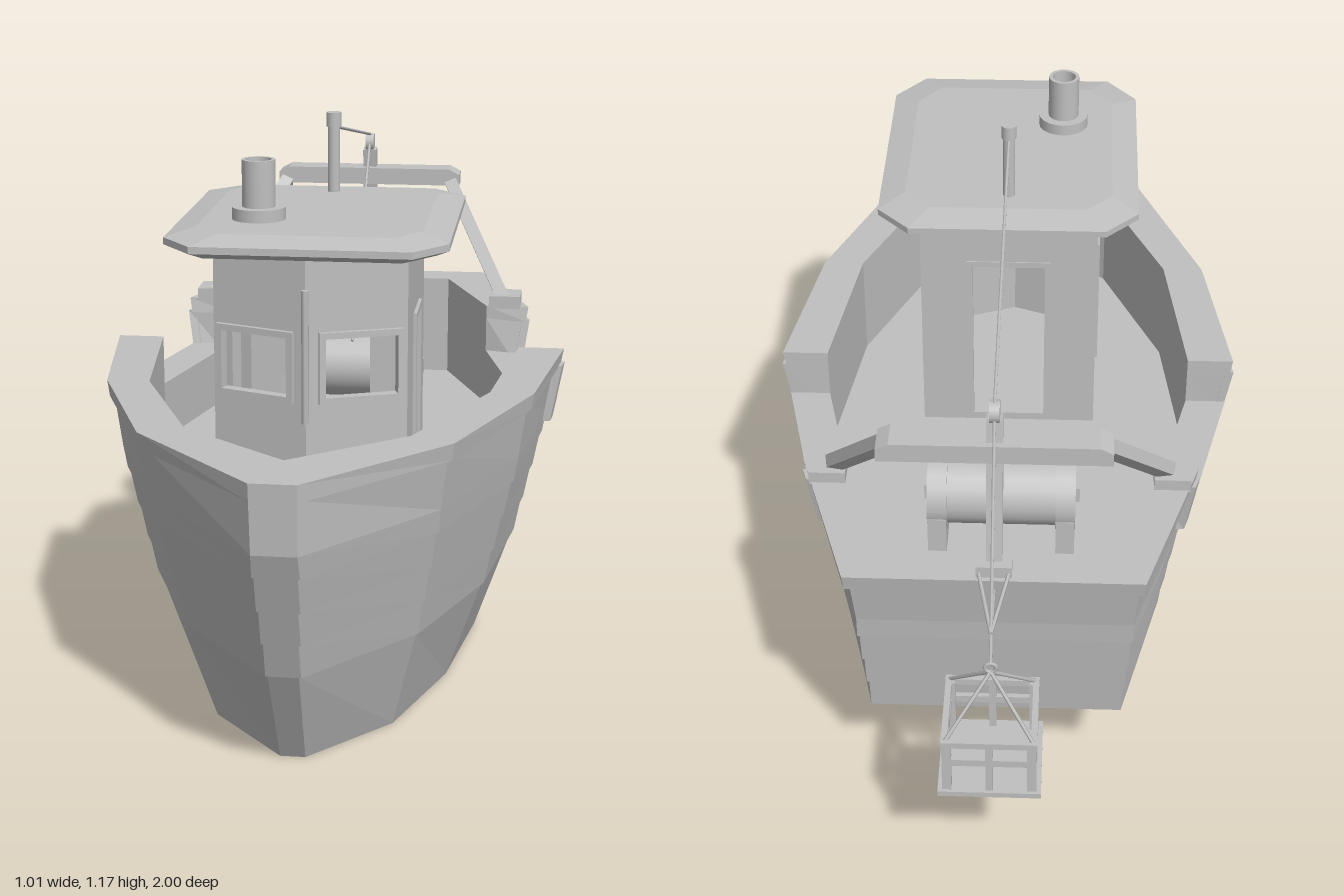
import * as THREE from 'three';

const V = (x, y, z) => new THREE.Vector3(x, y, z);
const grey = new THREE.MeshStandardMaterial({ color: 0xc0c0c0, side: THREE.DoubleSide });
grey.name = 'paintedGrey';

// Hull stations from bow to stern: [x, z] at each of the four heights
const HEIGHTS = [0, 0.22, 0.5, 0.64];
const STATIONS = [
  [[0.025, 0.765], [0.03, 0.885], [0.043, 0.99], [0.045, 1.0]],
  [[0.18, 0.59], [0.23, 0.645], [0.28, 0.7], [0.295, 0.72]],
  [[0.27, 0.33], [0.345, 0.35], [0.415, 0.36], [0.435, 0.36]],
  [[0.315, 0.04], [0.395, 0.01], [0.465, -0.01], [0.49, -0.01]],
  [[0.265, -0.21], [0.34, -0.335], [0.38, -0.37], [0.4, -0.39]],
  [[0.265, -0.21], [0.255, -0.67], [0.275, -0.72], [0.285, -0.745]],
];
// Inner edge of the bulwark at the same stations
const INNER = [[0, 0.86], [0.22, 0.68], [0.355, 0.36], [0.4, -0.01], [0.31, -0.39], [0.2, -0.67]];
const DECK = 0.4, RAIL = 0.64;
const lerp = THREE.MathUtils.lerp;

function outer(s, y, out = 0) {
  const i = Math.min(Math.floor(s), 4), t = s - i;
  let k = 0;
  while (k < 2 && y > HEIGHTS[k + 1]) k++;
  const v = (y - HEIGHTS[k]) / (HEIGHTS[k + 1] - HEIGHTS[k]);
  const at = (n, c) => lerp(STATIONS[n][k][c], STATIONS[n][k + 1][c], v);
  return V(lerp(at(i, 0), at(i + 1, 0), t) + out, y, lerp(at(i, 1), at(i + 1, 1), t) - (s === 5 ? out : 0));
}
function inner(s, y) {
  const i = Math.min(Math.floor(s), 4), t = s - i;
  return V(lerp(INNER[i][0], INNER[i + 1][0], t), y, lerp(INNER[i][1], INNER[i + 1][1], t));
}
const flip = p => V(-p.x, p.y, p.z);

// Flat-faced surface from quads
function quadMesh(name, quads) {
  const pos = [];
  for (const [a, b, c, d] of quads) for (const p of [a, b, c, a, c, d]) pos.push(p.x, p.y, p.z);
  const g = new THREE.BufferGeometry();
  g.setAttribute('position', new THREE.Float32BufferAttribute(pos, 3));
  g.computeVertexNormals();
  return mesh(name, g);
}
function mesh(name, geo, x = 0, y = 0, z = 0) {
  const m = new THREE.Mesh(geo, grey);
  m.name = name;
  m.position.set(x, y, z);
  return m;
}
const box = (name, w, h, d, x, y, z) => mesh(name, new THREE.BoxGeometry(w, h, d), x, y, z);
const cyl = (name, r, h, x, y, z, n = 16) => mesh(name, new THREE.CylinderGeometry(r, r, h, n), x, y, z);
// Lay an upright part along the line from a to b
function along(m, a, b) {
  m.position.copy(a).add(b).multiplyScalar(0.5);
  m.quaternion.setFromUnitVectors(V(0, 1, 0), b.clone().sub(a).normalize());
  return m;
}
const bar = (name, a, b, r, sides = 6) => along(cyl(name, r, a.distanceTo(b), 0, 0, 0, sides), a, b);
const beam = (name, a, b, w) => along(box(name, w, a.distanceTo(b), w, 0, 0, 0), a, b);
const mirrored = q => [q, q.map(flip).reverse()];

function hull() {
  const g = new THREE.Group();
  g.name = 'hull';
  // Skin with lapped planks: [height, outset]
  const rows = [[0, 0], [0.22, 0]];
  for (const y of [0.22, 0.297, 0.373, 0.45]) rows.push([y, 0.004], [Math.min(y + 0.0765, 0.5), 0]);
  rows.push([0.61, 0]);
  const skin = [], deck = [], cap = [];
  for (let r = 0; r < rows.length - 1; r++) {
    const [[y0, o0], [y1, o1]] = [rows[r], rows[r + 1]];
    for (let i = 0; i < 5; i++) {
      if ((i === 4 && y0 < 0.22) || (i === 3 && y0 >= 0.5)) continue;
      skin.push(...mirrored([outer(i + 1, y0, o0), outer(i, y0, o0), outer(i, y1, o1), outer(i + 1, y1, o1)]));
    }
    // Stem plate and transom
    const a = outer(0, y0, o0), b = outer(0, y1, o1);
    skin.push([flip(a), a, b, flip(b)]);
    const e = y1 <= 0.22 ? 4 : 5, c = outer(e, y0, o0), d = outer(e, y1, o1);
    skin.push([c, flip(c), flip(d), d]);
  }
  const across = (p, q) => [p, flip(p), flip(q), q];
  for (let i = 0; i < 5; i++) {
    skin.push(i < 4 ? across(outer(i + 1, 0), outer(i, 0)) : across(outer(5, 0.22), outer(4, 0.22)));
    deck.push(across(inner(i, DECK), inner(i + 1, DECK)));
    const top = i === 3 ? 0.5 : 0.62;
    deck.push(...mirrored([inner(i, DECK), inner(i + 1, DECK), inner(i + 1, top), inner(i, top)]));
  }
  deck.push(across(inner(5, DECK), inner(5, 0.62)).reverse());

  // Cap rail, lowered amidships to form the gangway: [from, to, outset, bottom, top]
  const block = (a, b, c, d, y0, y1) => {
    const lo = [a, b, c, d].map(f => f(y0)), hi = [a, b, c, d].map(f => f(y1));
    cap.push(hi, [...lo].reverse());
    for (let k = 0; k < 4; k++) cap.push([lo[k], lo[(k + 1) % 4], hi[(k + 1) % 4], hi[k]]);
  };
  const runs = [[0, 1], [1, 2], [2, 3], [4, 5], [3, 4, 0.018, 0.483, 0.53],
    [2.9, 3, 0.018, 0.483, 0.61], [4, 4.09, 0.018, 0.483, 0.61]];
  for (const [s, t, out = 0.01, y0 = 0.605, y1 = RAIL] of runs) {
    const f = [y => outer(s, y, s ? out : 0), y => inner(s, y), y => inner(t, y), y => outer(t, y, out)];
    block(...f, y0, y1);
    block(...f.map(h => y => flip(h(y))).reverse(), y0, y1);
  }
  block(y => outer(0, y), y => inner(0, y), y => inner(0, y), y => flip(outer(0, y)), 0.605, RAIL);
  block(y => outer(5, y, 0.01), y => flip(outer(5, y, 0.01)), y => flip(inner(5, y)), y => inner(5, y), 0.605, RAIL);
  g.add(quadMesh('planking', skin), quadMesh('deck', deck), quadMesh('capRail', cap));
  return g;
}

// Wall panel from a to b ([x, z]) with a framed opening [u0, u1, y0, y1]
function wall(name, a, b, [u0, u1, y0, y1], proud) {
  const g = new THREE.Group();
  g.name = name;
  const len = Math.hypot(b[0] - a[0], b[1] - a[1]);
  const rect = (S, x0, x1, v0, v1) => new S().moveTo(x0, v0).lineTo(x1, v0).lineTo(x1, v1).lineTo(x0, v1).closePath();
  const panel = (n, s, depth, z) => {
    s.holes.push(rect(THREE.Path, u0, u1, y0, y1));
    g.add(mesh(n, new THREE.ExtrudeGeometry(s, { depth, bevelEnabled: false }), 0, 0, z));
  };
  panel('panel', rect(THREE.Shape, 0, len, DECK, 0.97), 0.012, -0.012);
  const f = 0.013;
  panel('openingFrame', rect(THREE.Shape, u0 - f, u1 + f, Math.max(y0 - f, DECK), y1 + f), proud + 0.005, -0.005);
  g.position.set(a[0], 0, a[1]);
  g.rotation.y = Math.atan2(a[1] - b[1], b[0] - a[0]);
  return g;
}

function cabin() {
  const g = new THREE.Group();
  g.name = 'wheelhouse';
  const L = [-0.195, 0.48], N = [0, 0.555], R = [0.195, 0.48], BR = [0.195, 0.08], BL = [-0.195, 0.08];
  g.add(
    wall('frontWallRight', L, N, [0.022, 0.17, 0.67, 0.79], 0.01),
    wall('frontWallLeft', N, R, [0.039, 0.187, 0.67, 0.79], 0.01),
    wall('sideWallLeft', R, BR, [0.145, 0.255, 0.5, 0.785], 0.007),
    wall('backWall', BR, BL, [0.115, 0.275, 0.42, 0.82], 0.003),
    wall('sideWallRight', BL, L, [0.145, 0.255, 0.5, 0.785], 0.007),
    bar('frontPost', V(0, 0.62, 0.56), V(0, 0.89, 0.56), 0.008));
  // Roof with cut corners and a gently sloped edge
  const loop = (o, y) => [[0.28, 0.55], [0.215, 0.635], [-0.215, 0.635], [-0.28, 0.55], [-0.28, 0.04], [-0.21, -0.035],
    [0.21, -0.035], [0.28, 0.04]].map(([x, z]) => V(x * (1 - o), y, 0.3 + (z - 0.3) * (1 - o)));
  const loops = [loop(0.1, 0.958), loop(0, 0.973), loop(0, 0.987), loop(0.2, 1)];
  const q = [];
  for (let k = 0; k < 3; k++) for (let i = 0; i < 8; i++) {
    const j = (i + 1) % 8;
    q.push([loops[k][j], loops[k][i], loops[k + 1][i], loops[k + 1][j]]);
  }
  const lid = p => [[p[0], p[3], p[2], p[1]], [p[0], p[7], p[4], p[3]], [p[7], p[6], p[5], p[4]]];
  q.push(...lid(loops[3]), ...lid(loops[0]).map(f => f.reverse()));
  g.add(quadMesh('roof', q));
  // Funnel and mast
  const pipe = [[0.055, 0.985], [0.055, 1.025], [0.034, 1.025], [0.034, 1.12], [0.026, 1.12], [0.026, 1.03], [0, 1.03]];
  const funnel = pipe.slice(0, -1).map((p, i) =>
    mesh('funnel', new THREE.LatheGeometry([p, pipe[i + 1]].map(a => new THREE.Vector2(...a)), 20), -0.113, 0, 0.405));
  g.add(...funnel, cyl('mast', 0.013, 0.18, 0, 1.08, 0.09), cyl('mastCap', 0.016, 0.03, 0, 1.155, 0.09));
  return g;
}

function gantry() {
  const g = new THREE.Group();
  g.name = 'gantry';
  // Crossbar with cut upper corners
  const bevel = new THREE.Shape([[-0.225, 0.885], [0.225, 0.885], [0.225, 0.912], [0.2, 0.925], [-0.2, 0.925],
    [-0.225, 0.912]].map(p => new THREE.Vector2(...p)));
  g.add(mesh('crossbar', new THREE.ExtrudeGeometry(bevel, { depth: 0.065, bevelEnabled: false }), 0, 0, -0.7));
  for (const s of [-1, 1]) {
    g.add(beam('strut', V(s * 0.35, 0.65, -0.415), V(s * 0.205, 0.89, -0.645), 0.03),
      box('strutFoot', 0.075, 0.03, 0.08, s * 0.353, 0.65, -0.425),
      bar('bracketRod', V(s * 0.03, 0.65, -0.74), V(0, 0.62, -0.88), 0.004));
  }
  g.add(beam('rearLeg', V(0, 0.65, -0.712), V(0, 0.97, -0.665), 0.032),
    box('legFoot', 0.07, 0.03, 0.05, 0, 0.65, -0.72),
    bar('bracketRod', V(0, 0.61, -0.735), V(0, 0.62, -0.88), 0.004));
  const pulley = cyl('pulley', 0.022, 0.02, 0, 0.985, -0.668);
  pulley.rotation.z = Math.PI / 2;
  const head = V(0, 1.005, -0.67);
  g.add(pulley, bar('stayRope', V(0, 1.14, 0.09), head, 0.0035), bar('winchRope', head, V(0, 0.575, -0.27), 0.0035),
    bar('liftRope', head, V(0, 0.56, -0.9), 0.0035));
  return g;
}

function winch() {
  const g = new THREE.Group();
  g.name = 'winch';
  const axle = new THREE.Group();
  axle.name = 'drumAxle';
  axle.add(cyl('drum', 0.075, 0.31, 0, 0, 0, 20));
  for (const s of [-1, 1]) {
    axle.add(cyl('drumFlange', 0.084, 0.042, 0, s * 0.136, 0, 20), box('drumHub', 0.035, 0.012, 0.035, 0, s * 0.16, 0));
    g.add(box('winchStand', 0.04, 0.09, 0.165, s * 0.136, 0.44, -0.31));
  }
  axle.rotation.z = Math.PI / 2;
  axle.position.set(0, 0.508, -0.31);
  g.add(axle);
  return g;
}

function basket() {
  const g = new THREE.Group();
  g.name = 'basket';
  g.add(box('basketFloor', 0.2, 0.012, 0.195, 0, 0.306, 0));
  for (let k = 0; k < 4; k++) {
    const side = new THREE.Group();
    side.name = 'basketSide';
    side.rotation.y = k * Math.PI / 2;
    side.add(box('topBar', 0.185, 0.014, 0.012, 0, 0.432, 0.086), box('midBar', 0.17, 0.016, 0.01, 0, 0.385, 0.086),
      box('midPost', 0.014, 0.125, 0.01, 0, 0.37, 0.086), box('cornerPost', 0.018, 0.13, 0.018, 0.082, 0.37, 0.082),
      bar('sling', V(0.084, 0.437, 0.084), V(0, 0.54, 0), 0.004));
    g.add(side);
  }
  g.add(mesh('liftRing', new THREE.TorusGeometry(0.011, 0.004, 6, 12), 0, 0.55, 0));
  g.position.z = -0.9;
  return g;
}

function propeller() {
  const g = new THREE.Group();
  g.name = 'propeller';
  g.add(bar('shaft', V(0, 0.085, -0.23), V(0, 0.085, -0.385), 0.009, 10), bar('hub', V(0, 0.085, -0.345), V(0, 0.085, -0.385), 0.016, 10));
  for (let k = 0; k < 4; k++) {
    const arm = new THREE.Group(), blade = box('blade', 0.032, 0.055, 0.008, 0, 0.042, 0);
    arm.name = 'bladeArm';
    blade.rotation.y = 0.6;
    arm.add(blade);
    arm.position.set(0, 0.085, -0.365);
    arm.rotation.z = k * Math.PI / 2;
    g.add(arm);
  }
  return g;
}

export function createModel() {
  const boat = new THREE.Group();
  boat.name = 'fishingBoat';
  boat.add(hull(), cabin(), gantry(), winch(), basket(), propeller());
  return boat;
}
